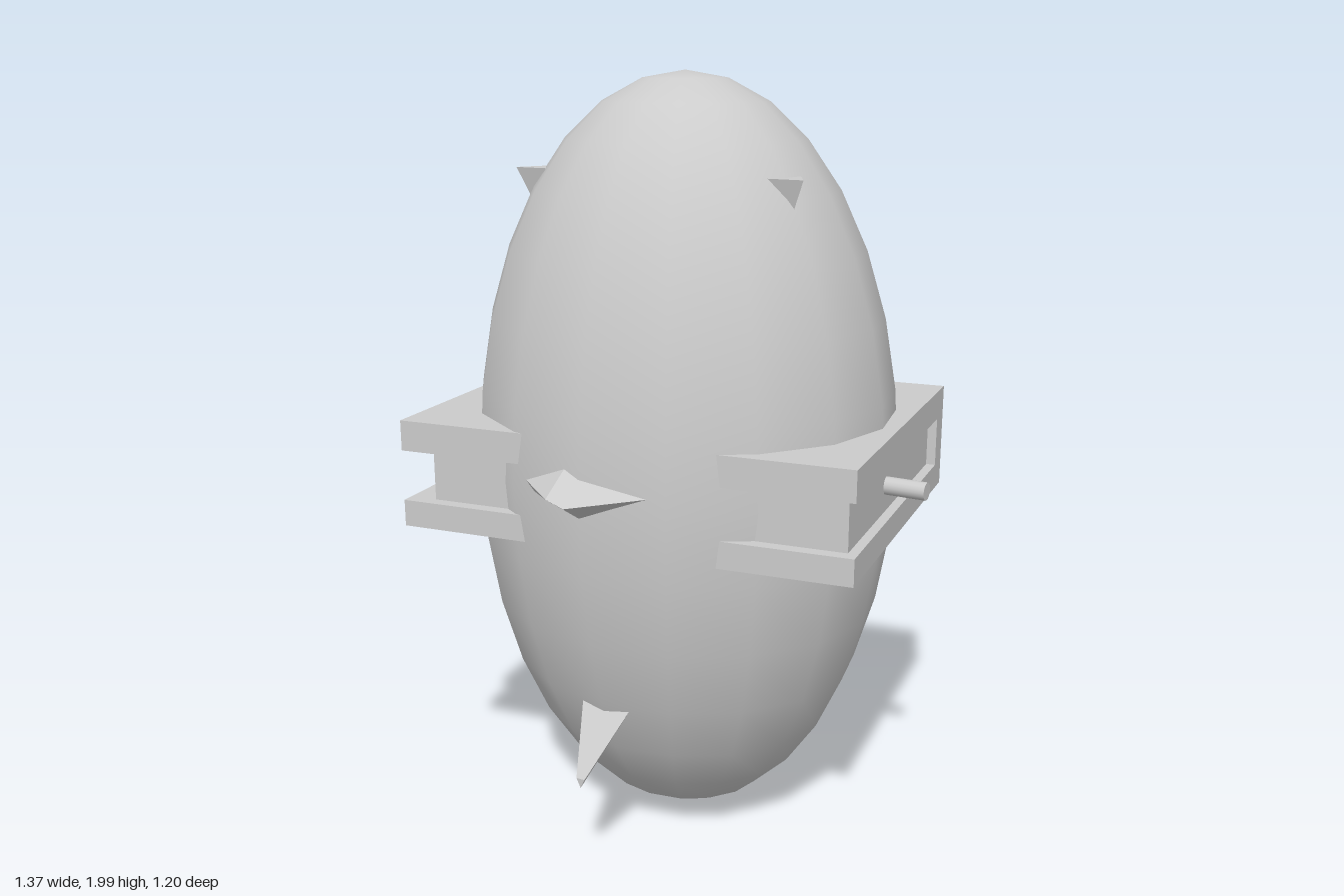
import * as THREE from 'three';
import { ConvexGeometry } from 'three/addons/geometries/ConvexGeometry.js';

const grey = new THREE.MeshStandardMaterial({ color: 0xcccccc });
const V = (p) => new THREE.Vector3(...p);

function add(parent, name, geometry, x = 0, y = 0, z = 0) {
  const mesh = new THREE.Mesh(geometry, grey);
  mesh.name = name;
  mesh.position.set(x, y, z);
  parent.add(mesh);
  return mesh;
}

// Box given by its min and max corners
function block(parent, name, a, b) {
  const [w, h, d] = a.map((v, i) => b[i] - v);
  return add(parent, name, new THREE.BoxGeometry(w, h, d),
    ...a.map((v, i) => (v + b[i]) / 2));
}

// Faceted spike: tip points plus root points on the body, with the roots pushed a little inside
function spike(parent, name, tips, roots, sink = 0.2) {
  const t = V(tips[0]);
  const inner = roots.map((r) => V(r).add(V(r).sub(t).multiplyScalar(sink)));
  return add(parent, name, new ConvexGeometry([...tips.map(V), ...inner]));
}

export function createModel() {
  const model = new THREE.Group();
  model.name = 'spikedEgg';

  // Egg-shaped body
  const body = new THREE.SphereGeometry(1, 16, 16);
  body.scale(0.57, 0.997, 0.52);
  add(model, 'body', body, 0, 1.002, 0);

  // Turned block with a groove around the left, front and right sides
  const belt = new THREE.Group();
  belt.name = 'belt';
  belt.rotation.y = 0.13;
  model.add(belt);
  const X = 0.597, Z = 0.45, back = -0.381;
  block(belt, 'upperBeltSlab', [-X, 1.064, -Z], [X, 1.143, Z]);
  block(belt, 'lowerBeltSlab', [-X, 0.863, -Z], [X, 0.932, Z]);
  block(belt, 'beltBackWall', [-X, 0.932, -Z], [X, 1.064, back]);
  block(belt, 'beltCore', [-0.524, 0.932, back], [0.572, 1.064, 0.416]);

  // Side peg
  const peg = add(model, 'sidePeg', new THREE.CylinderGeometry(0.023, 0.023, 0.2, 16), 0.585, 1, 0.004);
  peg.rotation.z = -Math.PI / 2;

  // Faceted studs at the middle
  spike(model, 'frontStud',
    [[0.012, 1.015, 0.6], [-0.04, 1.03, 0.597]],
    [[-0.15, 1.027, 0.5], [-0.13, 1.005, 0.5], [-0.037, 1.074, 0.515],
      [0.153, 1.03, 0.5], [0, 0.963, 0.512]]);
  spike(model, 'backStud',
    [[0.01, 1.035, -0.6], [0.085, 1.07, -0.6]],
    [[-0.13, 1.01, -0.5], [0.145, 1.05, -0.5], [0.07, 1.09, -0.515], [0.02, 1.0, -0.515]]);
  spike(model, 'sideStud',
    [[-0.683, 1.005, -0.01], [-0.68, 0.993, -0.005]],
    [[-0.6, 1.055, 0], [-0.6, 0.945, 0], [-0.57, 1.0, 0.1], [-0.57, 1.0, -0.075],
      [-0.55, 1.04, 0.03], [-0.55, 0.96, 0.03]]);

  // Flat-topped spikes: a large one behind and a mirrored pair in front
  spike(model, 'backSpike', [[0, 1.755, -0.535]],
    [[-0.125, 1.755, -0.32], [0.125, 1.755, -0.32], [0, 1.54, -0.44]]);
  for (const [s, side] of [[-1, 'right'], [1, 'left']]) {
    spike(model, side + 'BrowSpike', [[s * 0.408, 1.755, 0.165]],
      [[s * 0.322, 1.755, 0.165], [s * 0.365, 1.755, 0.085], [s * 0.38, 1.69, 0.15]]);
  }

  // Downward spike low on the front
  spike(model, 'lowerSpike',
    [[0, 0.258, 0.535], [-0.012, 0.283, 0.535], [0.012, 0.283, 0.535]],
    [[-0.066, 0.425, 0.415], [0.066, 0.425, 0.415], [0, 0.345, 0.39]]);

  return model;
}
